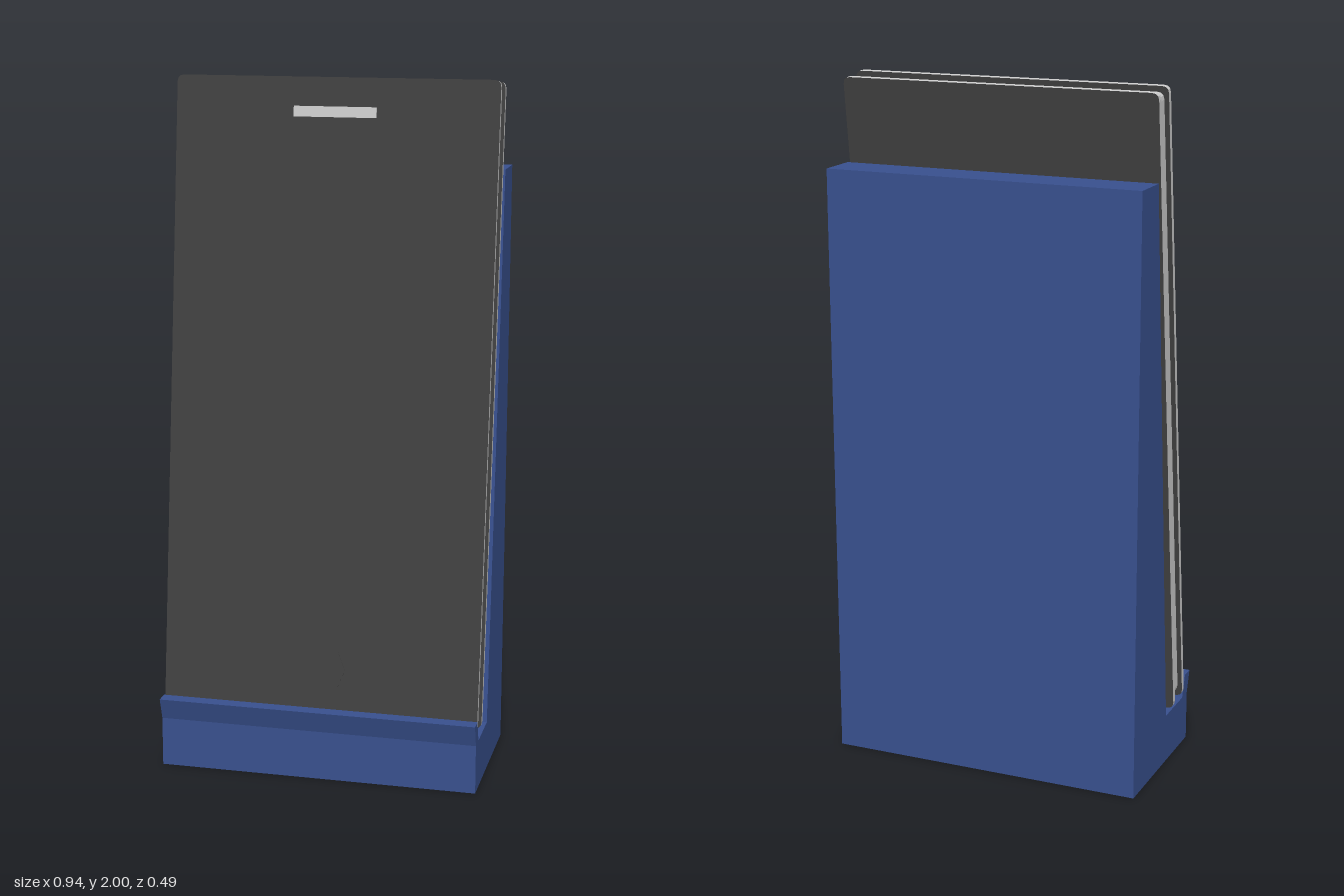
import * as THREE from 'three';

const blue = new THREE.MeshStandardMaterial({ color: 0x38508e });
const dark = new THREE.MeshStandardMaterial({ color: 0x404040 });
const grey = new THREE.MeshStandardMaterial({ color: 0xcccccc });

// Upright slab with rounded corners, standing on y0, from z0 forward by depth
function slab(name, width, y0, y1, z0, depth, radius, materials) {
  const w = width / 2;
  const s = new THREE.Shape();
  s.moveTo(-w + radius, y0);
  s.lineTo(w - radius, y0);
  s.quadraticCurveTo(w, y0, w, y0 + radius);
  s.lineTo(w, y1 - radius);
  s.quadraticCurveTo(w, y1, w - radius, y1);
  s.lineTo(-w + radius, y1);
  s.quadraticCurveTo(-w, y1, -w, y1 - radius);
  s.lineTo(-w, y0 + radius);
  s.quadraticCurveTo(-w, y0, -w + radius, y0);
  const geo = new THREE.ExtrudeGeometry(s, { depth, bevelEnabled: false, curveSegments: 3 });
  geo.translate(0, 0, z0);
  const mesh = new THREE.Mesh(geo, materials);
  mesh.name = name;
  return mesh;
}

export function createModel() {
  const model = new THREE.Group();
  model.name = 'phoneOnStand';

  // Stand: side profile as (z, y), swept across the width
  const profile = [
    [0.223, 0], [0.223, 0.145], [0.244, 0.21], [0.203, 0.21], [0.18, 0.145],
    [0.035, 0.145], [-0.117, 1.745], [-0.243, 1.745], [-0.235, 0],
  ].map(([z, y]) => new THREE.Vector2(z, y));
  const standGeo = new THREE.ExtrudeGeometry(new THREE.Shape(profile), { depth: 0.935, bevelEnabled: false });
  standGeo.rotateY(-Math.PI / 2);
  standGeo.translate(0.47, 0, 0);
  const stand = new THREE.Mesh(standGeo, blue);
  stand.name = 'stand';
  model.add(stand);

  // Phone: leans back about its front bottom edge
  const phone = new THREE.Group();
  phone.name = 'phone';
  phone.position.set(-0.0025, 0.16, 0.18);
  phone.rotation.x = -0.124;
  model.add(phone);

  const height = 1.854;
  phone.add(
    slab('frontPlate', 0.935, 0, height, -0.016, 0.016, 0.02, [dark, grey]),
    slab('middleFrame', 0.908, 0.016, height - 0.016, -0.078, 0.062, 0.02, grey),
    slab('backPlate', 0.935, 0, height, -0.094, 0.016, 0.02, [dark, grey]),
  );

  // Earpiece slot near the top of the screen
  const earpiece = new THREE.Mesh(new THREE.BoxGeometry(0.24, 0.03, 0.006), grey);
  earpiece.name = 'earpiece';
  earpiece.position.set(-0.002, 1.757, -0.001);
  phone.add(earpiece);

  // Eight-sided home button
  const buttonGeo = new THREE.CylinderGeometry(0.077, 0.077, 0.006, 8).rotateX(Math.PI / 2);
  const button = new THREE.Mesh(buttonGeo, dark);
  button.material = dark.clone();
  button.material.flatShading = true;
  button.name = 'homeButton';
  button.position.set(-0.002, 0.157, -0.001);
  phone.add(button);

  return model;
}
